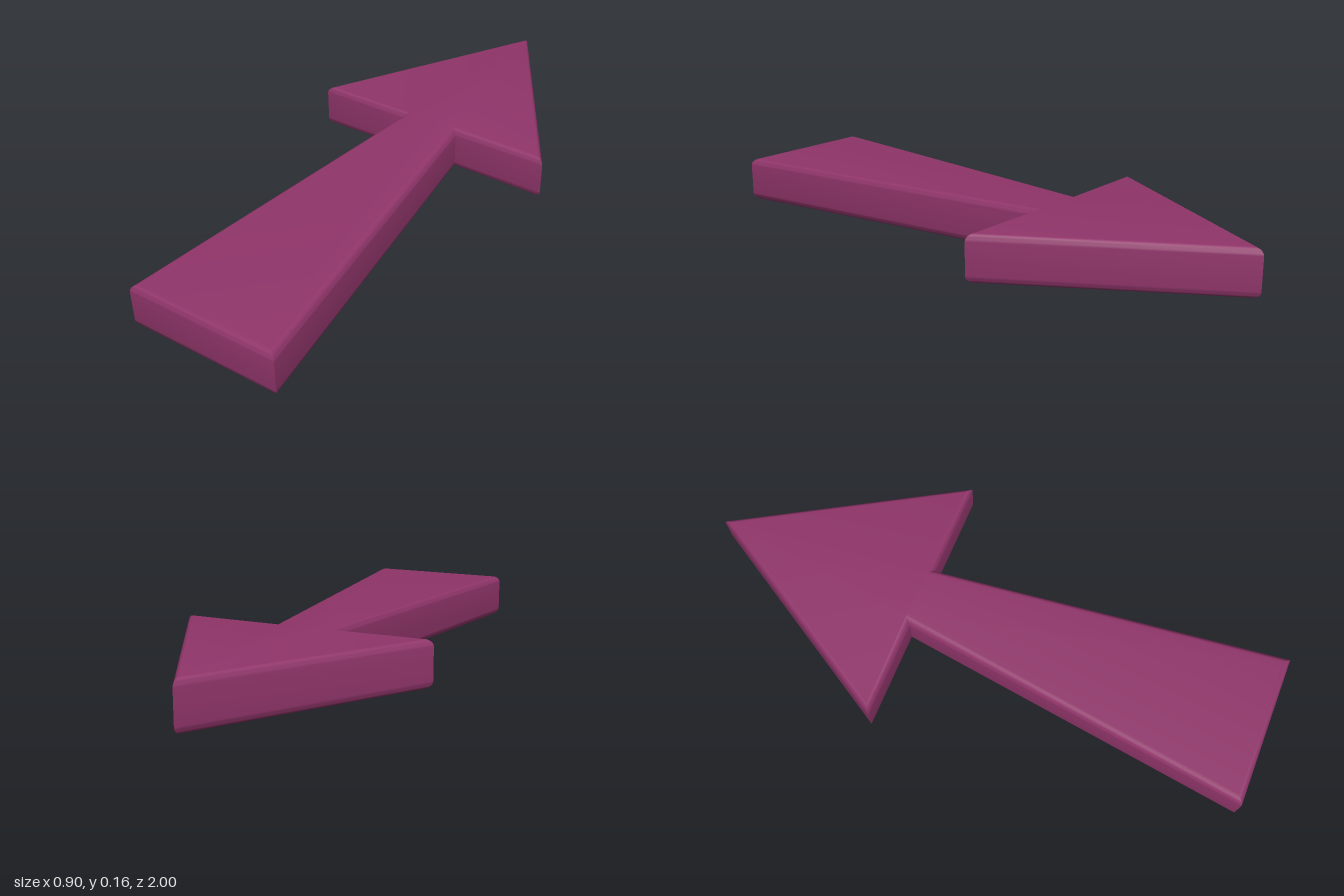
import * as THREE from 'three';
import { toCreasedNormals } from 'three/addons/utils/BufferGeometryUtils.js';

export function createModel() {
  const group = new THREE.Group();
  group.name = 'arrow';

  const height = 0.16;
  const bevel = 0.025;

  // Right half of the outline, from tip to foot; the other half is mirrored
  const half = [[0.45, 0.24], [0.108, 0.24], [0.267, -1]];
  const mirrored = half.map(([x, y]) => [-x, y]).reverse();
  const outline = [[0, 1], ...mirrored.reverse(), ...half.slice().reverse()];
  const shape = new THREE.Shape(outline.map(([x, y]) => new THREE.Vector2(x, y)));

  // Flat arrow with softly rounded top and bottom edges
  const geometry = new THREE.ExtrudeGeometry(shape, {
    depth: height - 2 * bevel,
    bevelEnabled: true,
    bevelSize: bevel,
    bevelThickness: bevel,
    bevelOffset: -bevel,
    bevelSegments: 5,
  });
  geometry.rotateX(-Math.PI / 2);
  geometry.translate(0, bevel, 0);

  const arrow = new THREE.Mesh(
    toCreasedNormals(geometry, 0.7),
    new THREE.MeshStandardMaterial({ color: 0x90356a })
  );
  arrow.name = 'arrowBody';
  group.add(arrow);
  return group;
}
